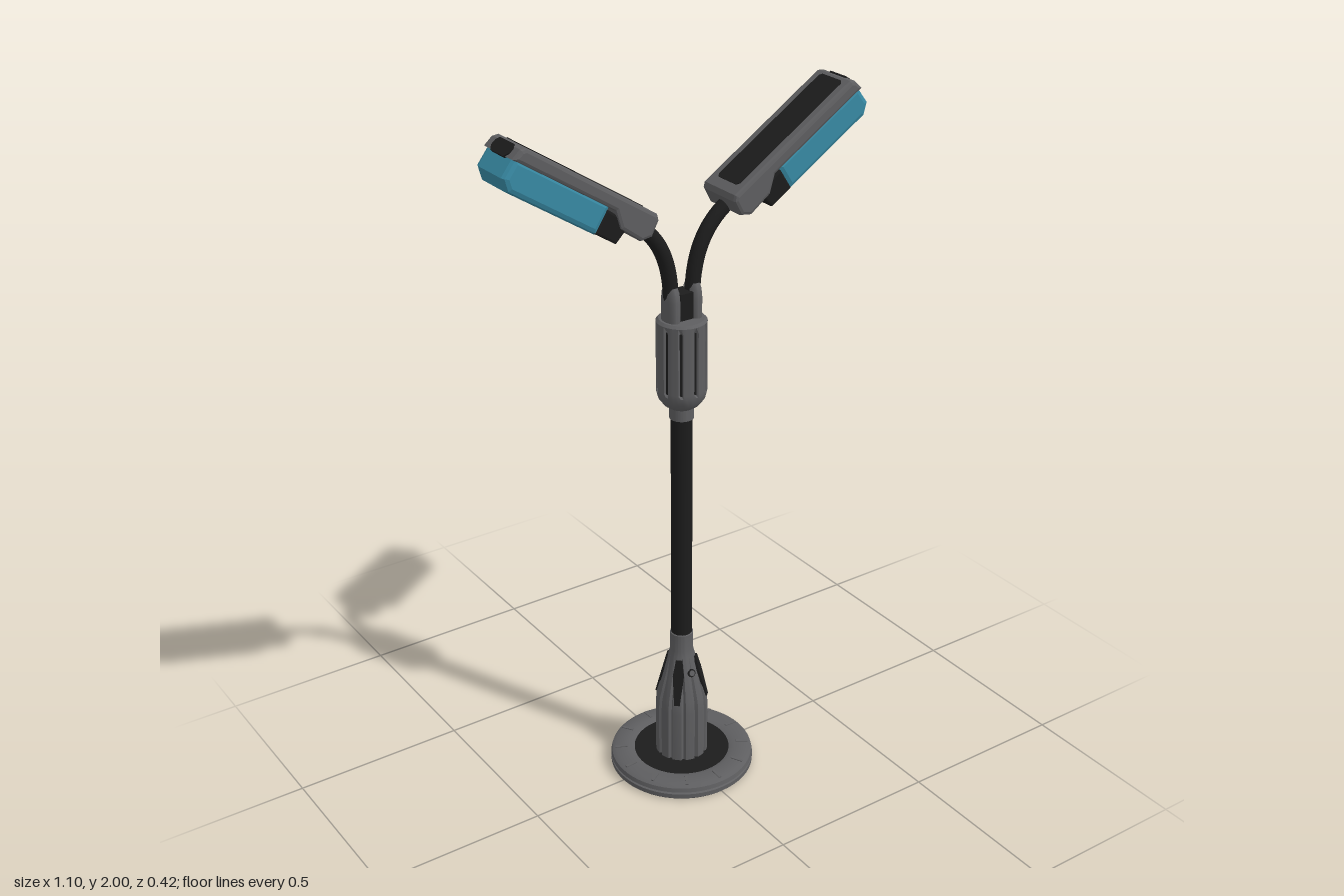
import * as THREE from 'three';
import { toCreasedNormals } from 'three/addons/utils/BufferGeometryUtils.js';

const makeMaterial = (name, color) => {
  const m = new THREE.MeshStandardMaterial({ color });
  m.name = name;
  return m;
};
const grey = makeMaterial('grey plastic', 0x5e5e60);
const black = makeMaterial('black', 0x1c1c1c);
const blue = makeMaterial('blue lens', 0x388aa4);

function add(parent, name, geometry, material, x = 0, y = 0, z = 0) {
  const mesh = new THREE.Mesh(geometry, material);
  mesh.name = name;
  mesh.position.set(x, y, z);
  parent.add(mesh);
  return mesh;
}

// Turned profile of [radius, y, grooveDepth], with V grooves every sixth segment
function turned(profile, grooves = 10) {
  const segments = grooves * 6;
  const g = new THREE.LatheGeometry(profile.map(p => new THREE.Vector2(p[0], p[1])), segments);
  const pos = g.attributes.position;
  for (let i = 0; i < pos.count; i++) {
    const column = Math.floor(i / profile.length);
    const [r, , depth = 0] = profile[i % profile.length];
    if (depth && column % 6 === 0) {
      const k = (r - depth) / r;
      pos.setX(i, pos.getX(i) * k);
      pos.setZ(i, pos.getZ(i) * k);
    }
  }
  return toCreasedNormals(g, 0.5);
}

const shapeOf = pts => new THREE.Shape(pts.map(p => new THREE.Vector2(p[0], p[1])));

// Side profile extruded symmetrically across z with chamfered edges
function slab(pts, halfWidth, bevel) {
  const g = new THREE.ExtrudeGeometry(shapeOf(pts), {
    depth: 2 * (halfWidth - bevel), bevelEnabled: true, bevelThickness: bevel,
    bevelSize: bevel, bevelOffset: -bevel, bevelSegments: 2,
  });
  g.translate(0, 0, bevel - halfWidth);
  return g;
}

function createBase() {
  const base = new THREE.Group();
  base.name = 'base';
  add(base, 'baseRim', turned([[0.138, 0.006], [0.15, 0], [0.205, 0], [0.21, 0.005], [0.21, 0.018],
    [0.204, 0.021], [0.21, 0.025], [0.207, 0.037], [0.195, 0.044], [0.155, 0.046], [0.14, 0.04]]), grey);
  add(base, 'baseCore', new THREE.CylinderGeometry(0.148, 0.148, 0.035, 48), black, 0, 0.0225);
  for (let i = 0; i < 12; i++) {
    const pivot = new THREE.Group();
    pivot.name = 'rimRidge';
    pivot.rotation.y = i * Math.PI / 6;
    add(pivot, 'ridge', new THREE.BoxGeometry(0.008, 0.006, 0.036), grey, 0, 0.044, 0.179).rotation.x = 0.06;
    base.add(pivot);
  }
  return base;
}

function createPedestal() {
  const pedestal = new THREE.Group();
  pedestal.name = 'pedestal';
  add(pedestal, 'pedestalBody', turned([[0.076, 0.038, 0.008], [0.076, 0.2, 0.008], [0.073, 0.235, 0.008],
    [0.056, 0.3, 0.005], [0.037, 0.375, 0], [0.033, 0.39], [0.033, 0.445], [0.028, 0.447]], 12), grey);
  // Tapered dark insets on the four diagonals
  const inset = new THREE.ExtrudeGeometry(
    shapeOf([[-0.008, -0.07], [0.008, -0.07], [0.016, 0.02], [0.009, 0.068], [-0.009, 0.068], [-0.016, 0.02]]),
    { depth: 0.007, bevelEnabled: false });
  // Round screws between the insets
  const screw = new THREE.CylinderGeometry(0.012, 0.012, 0.008, 16).rotateX(Math.PI / 2);
  for (let i = 0; i < 4; i++) {
    const pivot = new THREE.Group();
    pivot.name = 'pedestalSide';
    pivot.rotation.y = i * Math.PI / 2;
    const holder = new THREE.Group();
    holder.name = 'insetHolder';
    holder.rotation.y = Math.PI / 4;
    add(holder, 'inset', inset, black, 0, 0.3, 0.053).rotation.x = -0.25;
    pivot.add(holder);
    if (i % 2 === 0) {
      add(pivot, 'screwRing', screw, black, 0, 0.325, 0.049).rotation.x = -0.25;
      add(pivot, 'screwHead', screw, grey, 0, 0.326, 0.051).rotation.x = -0.25;
      pivot.children.at(-1).scale.set(0.7, 0.7, 1);
    }
    pedestal.add(pivot);
  }
  return pedestal;
}

function createCollar() {
  const collar = new THREE.Group();
  collar.name = 'collar';
  add(collar, 'grip', turned([[0.028, 1.13], [0.034, 1.132], [0.034, 1.165], [0.05, 1.176], [0.064, 1.195],
    [0.069, 1.215], [0.069, 1.225, 0.009], [0.069, 1.4, 0.009], [0.069, 1.418], [0.062, 1.425], [0, 1.425]]), grey);
  for (let i = 0; i < 10; i++) {
    const pivot = new THREE.Group();
    pivot.name = 'gripGroove';
    pivot.rotation.y = i * Math.PI / 5;
    add(pivot, 'groove', new THREE.BoxGeometry(0.007, 0.18, 0.005), black, 0, 1.312, 0.0615);
    collar.add(pivot);
  }
  add(collar, 'socketDivider', new THREE.BoxGeometry(0.04, 0.08, 0.05), black, 0, 1.46, 0);
  return collar;
}

// Head profile: x runs along the lamp, y is up through its thickness
function createHead() {
  const head = new THREE.Group();
  head.name = 'lampHead';
  add(head, 'shell', slab([[-0.04, -0.058], [-0.036, -0.012], [-0.024, 0], [0.414, 0], [0.426, -0.01],
    [0.434, -0.04], [0.1, -0.04], [0.06, -0.075], [-0.015, -0.08]], 0.074, 0.01), grey);
  add(head, 'lens', slab([[0.116, -0.03], [0.428, -0.03], [0.433, -0.09], [0.405, -0.115], [0.116, -0.115]],
    0.069, 0.014), blue);
  add(head, 'driverBox', slab([[0.035, -0.05], [0.122, -0.045], [0.122, -0.113], [0.048, -0.113]],
    0.067, 0.006), black);
  // Dark plates on the top and on the far end
  const w = 0.046;
  const plate = new THREE.ExtrudeGeometry(
    shapeOf([[0.005, -w + 0.008], [0.013, -w], [0.397, -w], [0.405, -w + 0.008],
      [0.405, w - 0.008], [0.397, w], [0.013, w], [0.005, w - 0.008]]),
    { depth: 0.004, bevelEnabled: false });
  add(head, 'topPlate', plate, black, 0, -0.002, 0).rotation.x = -Math.PI / 2;
  const endPlate = new THREE.ExtrudeGeometry(
    shapeOf([[-0.042, -0.008], [-0.03, -0.021], [0.03, -0.021], [0.042, -0.008],
      [0.042, 0.008], [0.032, 0.018], [-0.032, 0.018], [-0.042, 0.008]]),
    { depth: 0.008, bevelEnabled: false }).rotateY(Math.PI / 2);
  add(head, 'endPlate', endPlate, black, 0.424, -0.024, 0).rotation.z = 0.3;
  head.position.set(0.14, 1.77, 0);
  head.rotation.z = 0.576;
  return head;
}

// One complete side: socket, curved arm and lamp head
function createBranch() {
  const branch = new THREE.Group();
  const socket = turned([[0.034, 1.42], [0.034, 1.48], [0.031, 1.505], [0.024, 1.52], [0, 1.52]], 4);
  add(branch, 'socket', socket, grey, 0.035).scale.x = 0.6;
  const path = new THREE.CubicBezierCurve3(new THREE.Vector3(0.034, 1.47, 0), new THREE.Vector3(0.034, 1.6, 0),
    new THREE.Vector3(0.075, 1.675, 0), new THREE.Vector3(0.16, 1.724, 0));
  add(branch, 'arm', new THREE.TubeGeometry(path, 24, 0.021, 16), black);
  branch.add(createHead());
  return branch;
}

export function createModel() {
  const model = new THREE.Group();
  model.name = 'streetLamp';
  model.add(createBase(), createPedestal(), createCollar());
  add(model, 'pole', new THREE.CylinderGeometry(0.03, 0.03, 0.72, 24), black, 0, 0.79);
  ['leftBranch', 'rightBranch'].forEach((name, i) => {
    const branch = createBranch();
    branch.name = name;
    branch.rotation.y = i * Math.PI;
    model.add(branch);
  });
  return model;
}
